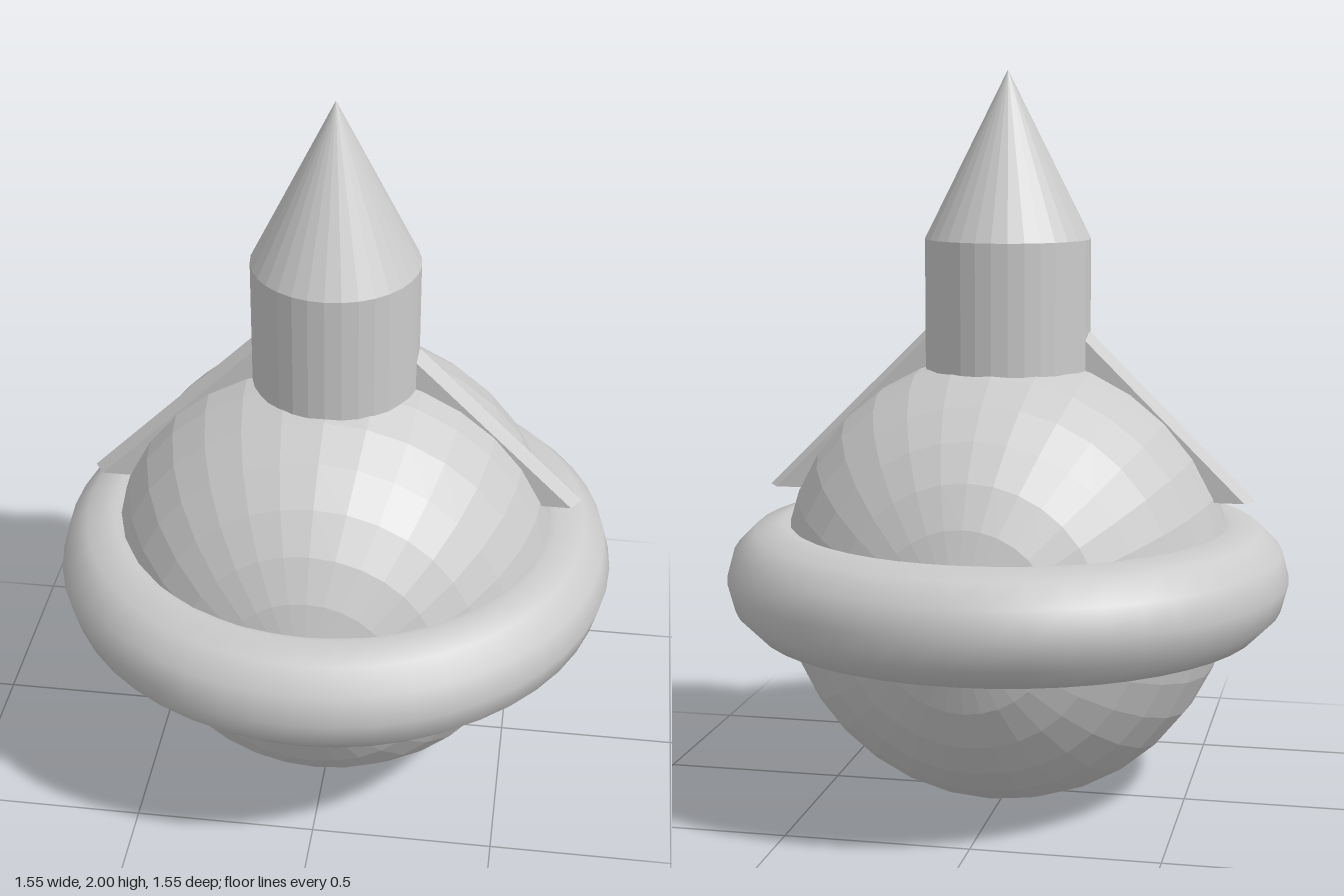
import * as THREE from 'three';

export function createModel() {
  const group = new THREE.Group();
  const flat = new THREE.MeshStandardMaterial({ color: 0xcccccc, flatShading: true });
  const smooth = new THREE.MeshStandardMaterial({ color: 0xcccccc });

  const add = (name, geometry, material, y = 0) => {
    const mesh = new THREE.Mesh(geometry, material);
    mesh.name = name;
    mesh.position.y = y;
    group.add(mesh);
    return mesh;
  };

  // Faceted ball with its poles facing front and back
  add('body', new THREE.SphereGeometry(0.622, 32, 16).rotateX(Math.PI / 2), flat, 0.623);

  // Ring around the middle
  add('ring', new THREE.TorusGeometry(0.62, 0.155, 12, 48).rotateX(Math.PI / 2), smooth, 0.625);

  // Neck and pointed nose
  add('neck', new THREE.CylinderGeometry(0.225, 0.225, 0.45, 32), flat, 1.325);
  add('noseCone', new THREE.ConeGeometry(0.225, 0.45, 32), flat, 1.775);

  // Fin: a ridged plan outline raised upward, its outer edge leaning in to the neck
  const bottom = 0.85, height = 0.45, lean = 0.455;
  const outline = new THREE.Shape([
    [0.1, -0.042], [0.655, -0.042], [0.683, 0], [0.655, 0.042], [0.1, 0.042],
  ].map(([x, z]) => new THREE.Vector2(x, z)));
  const fin = new THREE.ExtrudeGeometry(outline, { depth: height, bevelEnabled: false });
  fin.rotateX(-Math.PI / 2);
  const p = fin.attributes.position;
  for (let i = 0; i < p.count; i++) {
    if (p.getX(i) > 0.3) p.setX(i, p.getX(i) - lean * p.getY(i) / height);
  }
  fin.computeVertexNormals();
  add('leftFin', fin, flat, bottom);
  add('rightFin', fin, flat, bottom).rotation.y = Math.PI;

  return group;
}
